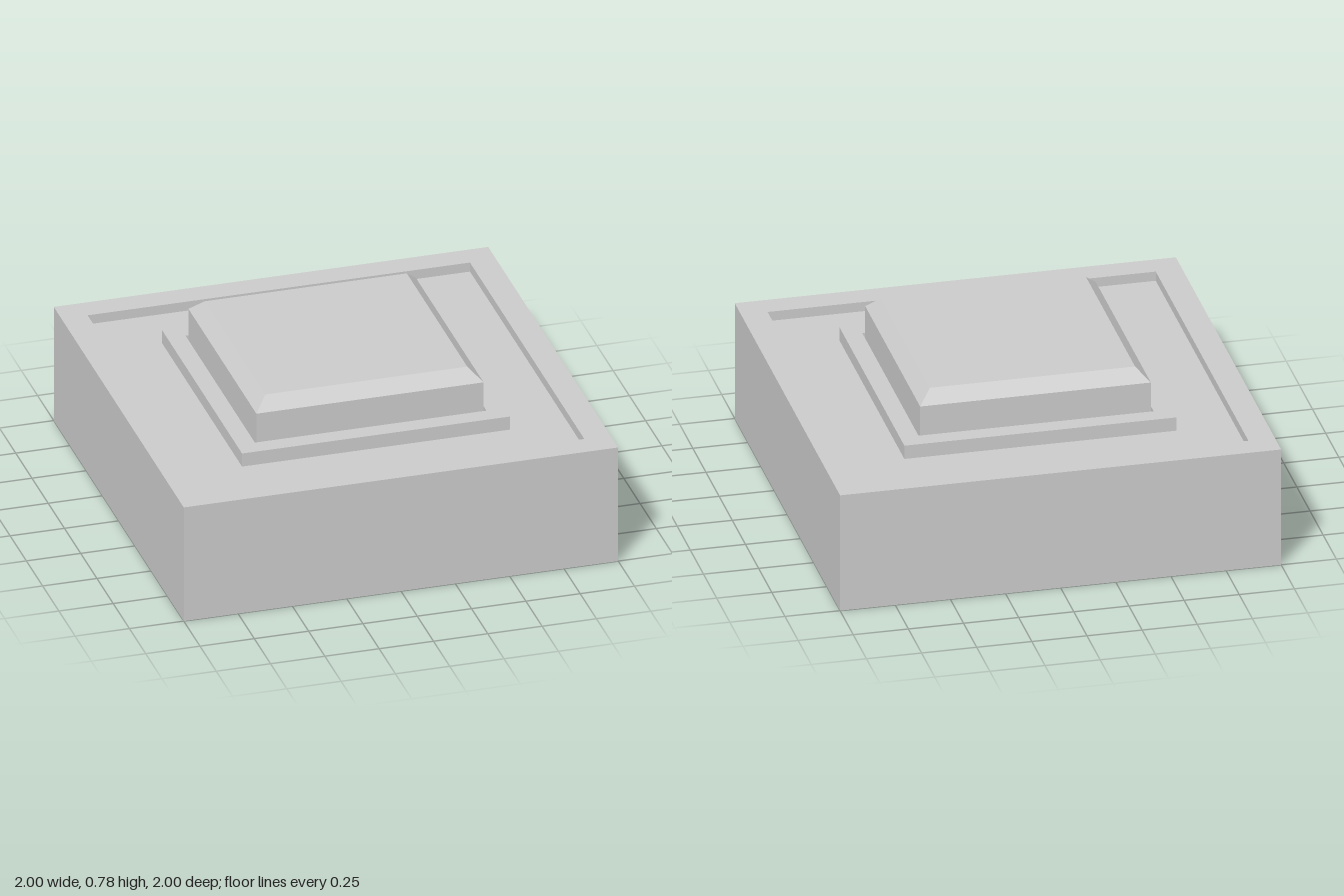
import * as THREE from 'three';

// Square solid turned from a profile of [half width, height], listed bottom to top
function squareTurned(name, profile) {
  const points = profile.map(([half, y]) => new THREE.Vector2(half * Math.SQRT2, y));
  const geometry = new THREE.LatheGeometry(points, 4, Math.PI / 4).toNonIndexed();
  geometry.computeVertexNormals();
  const material = new THREE.MeshStandardMaterial({ color: 0xcccccc, flatShading: true });
  const mesh = new THREE.Mesh(geometry, material);
  mesh.name = name;
  return mesh;
}

export function createModel() {
  const group = new THREE.Group();
  group.name = 'pushButton';

  const baseTop = 0.565, floor = 0.52, collarTop = 0.585;

  // Block with a shallow square recess in its top
  group.add(squareTurned('base', [
    [0, 0], [1, 0], [1, baseTop], [0.88, baseTop], [0.88, floor], [0, floor],
  ]));

  // Raised frame around the button, leaving a narrow gap
  group.add(squareTurned('collar', [
    [0.617, floor], [0.617, collarTop], [0.533, collarTop], [0.533, floor],
  ]));

  // Button cap with chamfered top edges
  group.add(squareTurned('button', [
    [0.523, floor], [0.523, 0.722], [0.465, 0.78], [0, 0.78],
  ]));

  return group;
}
